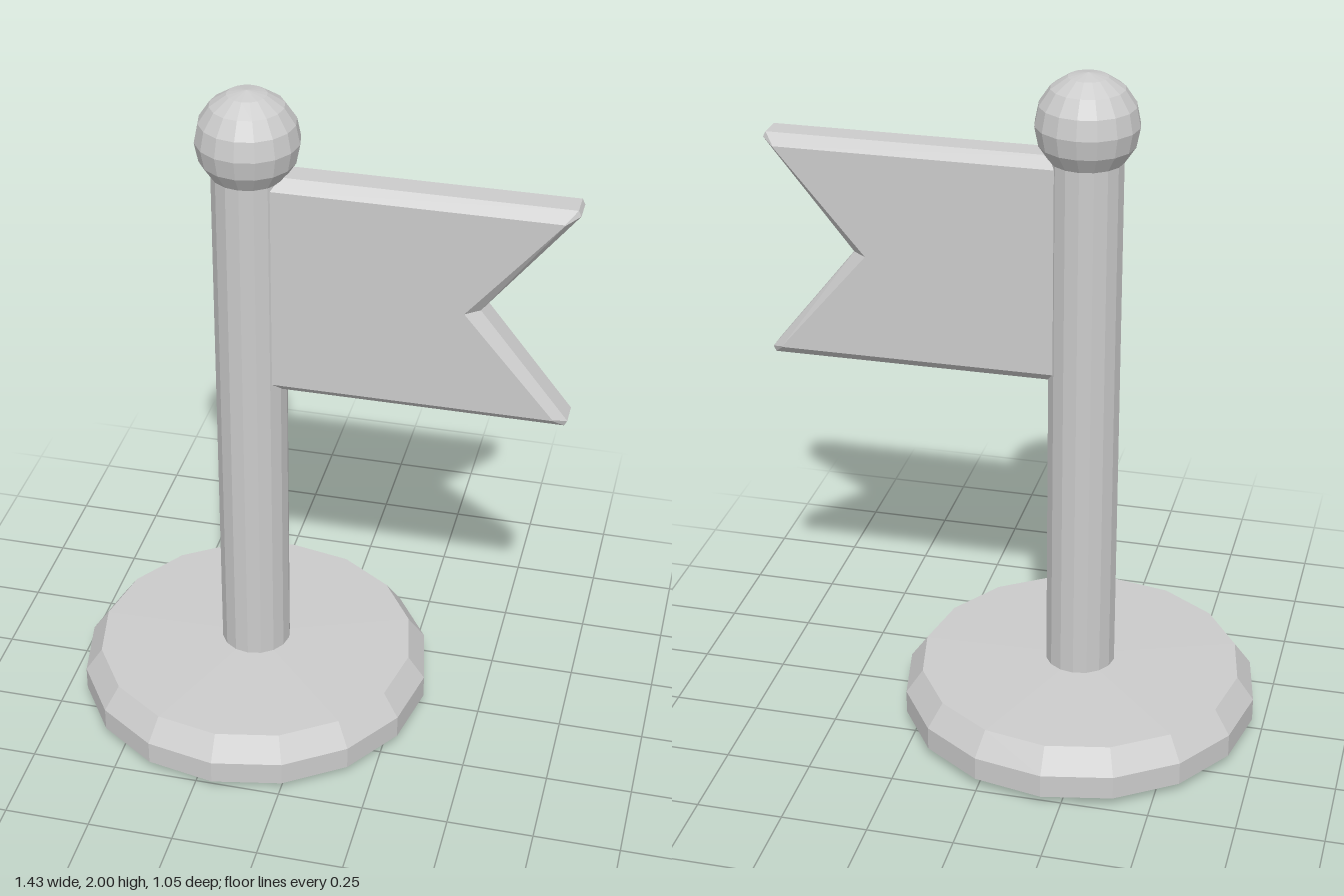
import * as THREE from 'three';

const material = new THREE.MeshStandardMaterial({ color: 0xcccccc, flatShading: true });
const POLE_X = -0.195;
const SIDES = 16;

function addPart(group, name, geometry, x = 0, y = 0) {
  const mesh = new THREE.Mesh(geometry, material);
  mesh.name = name;
  mesh.position.set(x, y, 0);
  group.add(mesh);
}

// Solid skinned through matching counter-clockwise outlines stacked along z, capped at both ends
function loft(layers) {
  const positions = [];
  const push = (layer, i) => {
    const p = layer.points[i % layer.points.length];
    positions.push(p.x, p.y, layer.z);
  };
  for (let k = 0; k < layers.length - 1; k++) {
    const a = layers[k], b = layers[k + 1];
    for (let i = 0; i < a.points.length; i++) {
      push(a, i); push(a, i + 1); push(b, i + 1);
      push(a, i); push(b, i + 1); push(b, i);
    }
  }
  const back = layers[0], front = layers[layers.length - 1];
  for (const [a, b, c] of THREE.ShapeUtils.triangulateShape(front.points, [])) {
    push(front, a); push(front, b); push(front, c);
    push(back, a); push(back, c); push(back, b);
  }
  const geometry = new THREE.BufferGeometry();
  geometry.setAttribute('position', new THREE.Float32BufferAttribute(positions, 3));
  geometry.computeVertexNormals();
  return geometry;
}

// Swallow-tailed outline, symmetric about y = 0; the tip has a small blunt end
function flagOutline(halfHeight, notchX, tipX, tipBlunt) {
  const start = 0;
  return [
    [start, -halfHeight],
    [tipX - tipBlunt / 2, -halfHeight],
    [tipX, -halfHeight + tipBlunt],
    [notchX, 0],
    [tipX, halfHeight - tipBlunt],
    [tipX - tipBlunt / 2, halfHeight],
    [start, halfHeight],
  ].map(([x, y]) => new THREE.Vector2(x, y));
}

export function createModel() {
  const model = new THREE.Group();
  model.name = 'flagOnStand';

  // Round base with chamfered rims and a slightly raised top
  const baseProfile = [[0, 0], [0.475, 0], [0.525, 0.03], [0.525, 0.1], [0.475, 0.17], [0, 0.182]]
    .map(([r, y]) => new THREE.Vector2(r, y));
  addPart(model, 'base', new THREE.LatheGeometry(baseProfile, SIDES), POLE_X);

  // Pole, running from inside the base into the ball
  addPart(model, 'pole', new THREE.CylinderGeometry(0.103, 0.103, 1.65, SIDES), POLE_X, 0.965);

  // Ball on top
  addPart(model, 'finial', new THREE.SphereGeometry(0.145, SIDES, 8), POLE_X, 1.855);

  // Thick flag with chamfered edges, rooted in the pole
  const face = flagOutline(0.305, 0.615, 0.872, 0.002);
  const rim = flagOutline(0.335, 0.655, 0.909, 0.016);
  addPart(model, 'flag', loft([
    { points: face, z: -0.067 },
    { points: rim, z: -0.035 },
    { points: rim, z: 0.035 },
    { points: face, z: 0.067 },
  ]), POLE_X, 1.435);

  return model;
}
